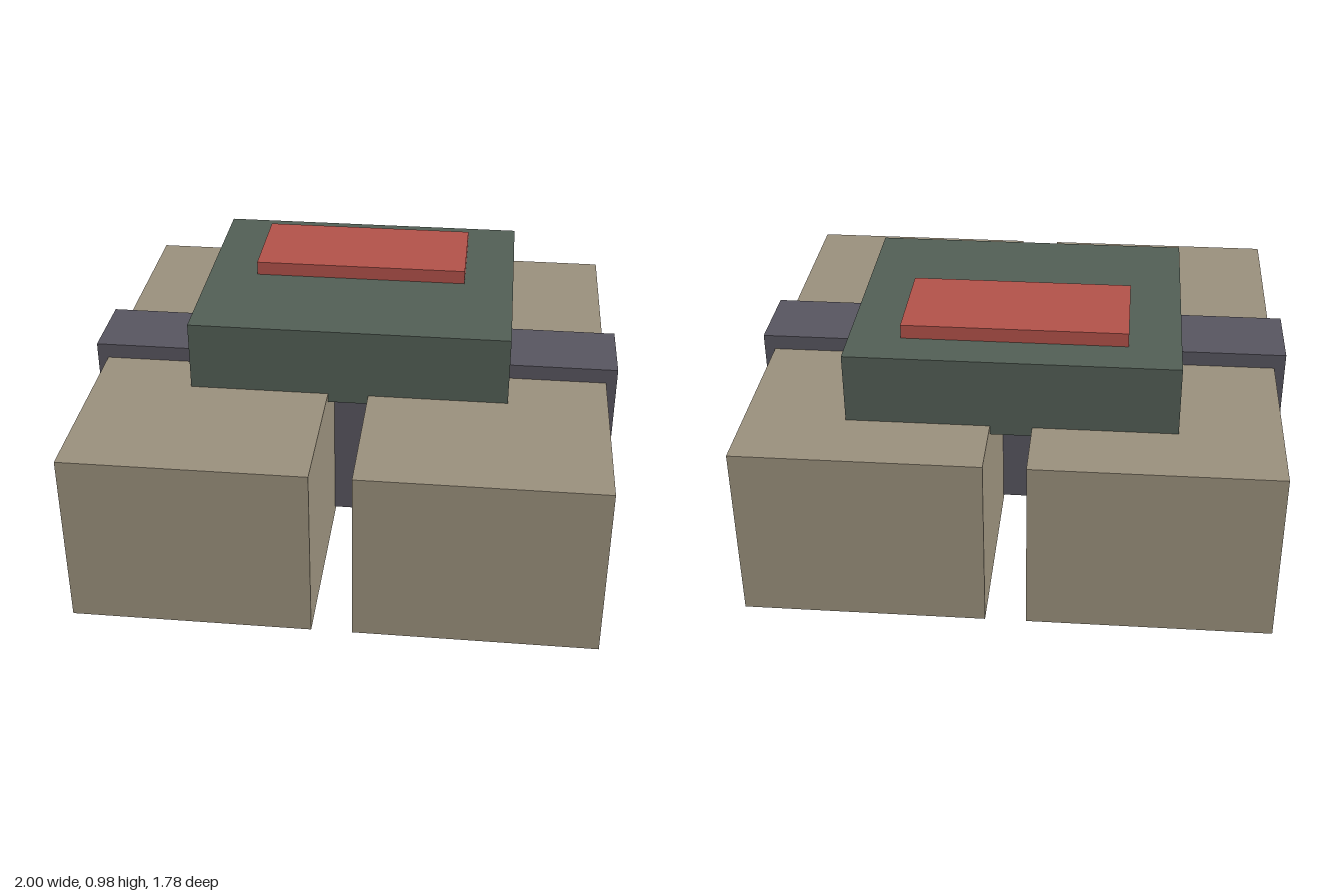
import * as THREE from 'three';

const material = (name, color) => {
  const m = new THREE.MeshStandardMaterial({ color });
  m.name = name;
  return m;
};

// Box given by its [min, max] range on each axis
function block(name, mat, [x0, x1], [y0, y1], [z0, z1]) {
  const mesh = new THREE.Mesh(new THREE.BoxGeometry(x1 - x0, y1 - y0, z1 - z0), mat);
  mesh.position.set((x0 + x1) / 2, (y0 + y1) / 2, (z0 + z1) / 2);
  mesh.name = name;
  return mesh;
}

export function createModel() {
  const tan = material('tan', 0x9b917d);
  const green = material('dark green', 0x535f56);
  const grey = material('slate grey', 0x585660);
  const red = material('red', 0xb3524a);

  const model = new THREE.Group();
  model.name = 'strappedPack';

  // Two long blocks side by side with a gap between them
  model.add(block('leftBlock', tan, [0.075, 0.96], [0, 0.667], [-0.89, 0.89]));
  model.add(block('rightBlock', tan, [-0.96, -0.075], [0, 0.667], [-0.89, 0.89]));

  // Band across the middle, standing proud of the blocks
  model.add(block('band', grey, [-1, 1], [0.022, 0.724], [-0.146, 0.146]));

  // Top case, set towards the back, with a raised plate
  model.add(block('topCase', green, [-0.593, 0.593], [0.632, 0.928], [-0.63, 0.333]));
  model.add(block('topPlate', red, [-0.405, 0.405], [0.91, 0.98], [-0.483, -0.113]));

  return model;
}
